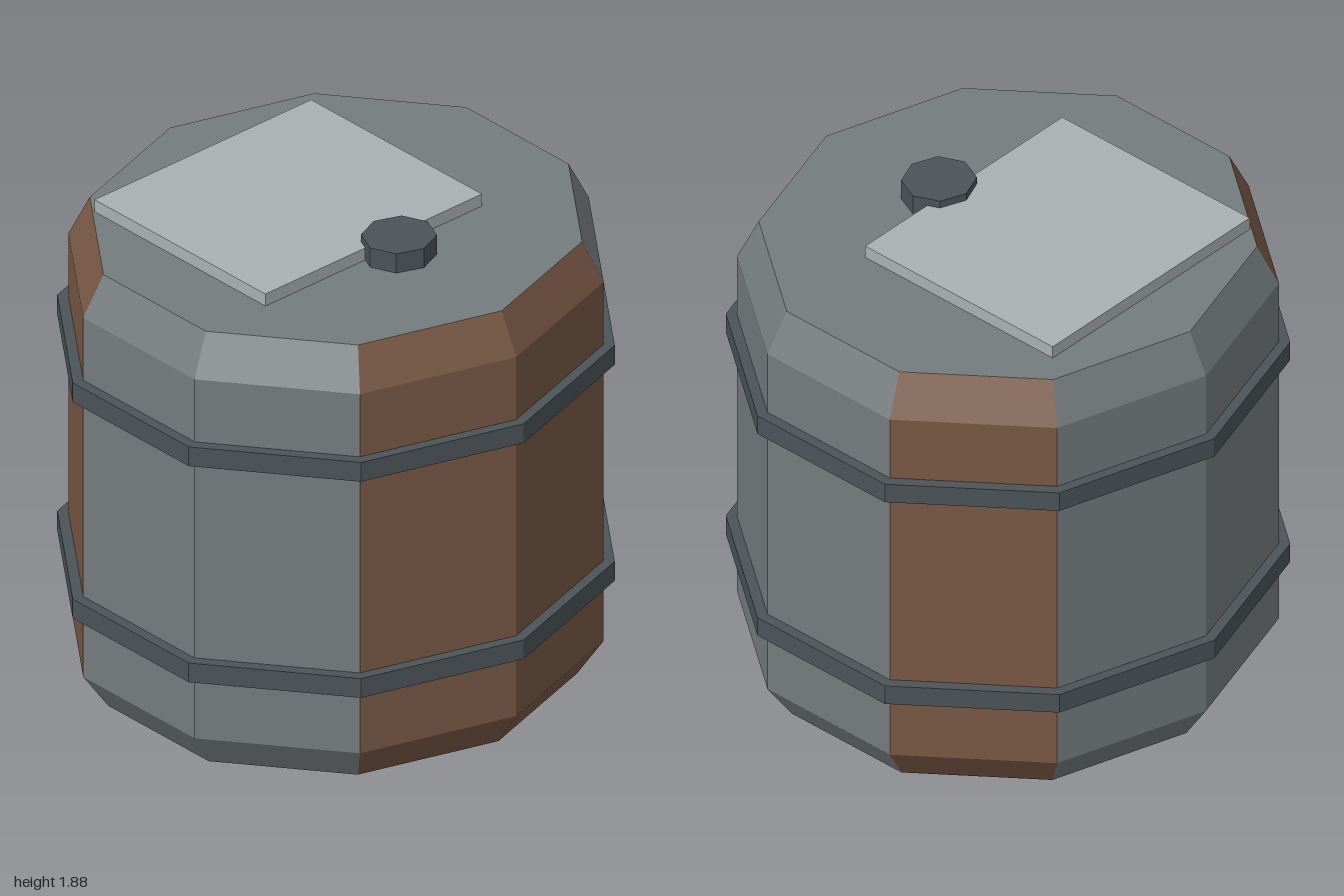
import * as THREE from 'three';

const SIDES = 10;
const STEP = (Math.PI * 2) / SIDES;
const DEPTH = 1 / Math.sin(STEP * 2); // stretches z so the decagon is as deep as it is wide

const material = (color) => new THREE.MeshStandardMaterial({ color, flatShading: true });
const grey = material(0x757c7e);
const brown = material(0x7a5946);
const iron = material(0x4c5459);
const pale = material(0xaab0b2);

function add(parent, name, geometry, mat, x = 0, y = 0, z = 0) {
  const mesh = new THREE.Mesh(geometry, mat);
  mesh.name = name;
  mesh.position.set(x, y, z);
  parent.add(mesh);
  return mesh;
}

const points = (list) => list.map(([r, y]) => new THREE.Vector2(r, y));

export function createModel() {
  const model = new THREE.Group();
  model.name = 'barrel';

  const body = new THREE.Group();
  body.name = 'body';
  body.scale.z = DEPTH;
  model.add(body);

  // Ten staves with bevelled ends, some of them brown
  const profile = points([[0.865, 0], [0.96, 0.145], [0.96, 1.64], [0.883, 1.8]]);
  const brownStaves = [0, 3, 6, 9];
  for (let k = 0; k < SIDES; k++) {
    const start = Math.PI / 2 - STEP * (k + 1);
    add(body, 'stave', new THREE.LatheGeometry(profile, 1, start, STEP),
      brownStaves.includes(k) ? brown : grey);
  }

  // Flat top and bottom
  add(body, 'top', new THREE.CircleGeometry(0.883, SIDES), grey, 0, 1.8).rotation.x = -Math.PI / 2;
  add(body, 'bottom', new THREE.CircleGeometry(0.865, SIDES), grey).rotation.x = Math.PI / 2;

  // Two hoops
  const hoop = points([[0.955, 0], [1, 0], [1, 0.08], [0.955, 0.08]]);
  for (const y of [0.4, 1.3]) {
    add(body, 'hoop', new THREE.LatheGeometry(hoop, SIDES, Math.PI / 2), iron, 0, y);
  }

  // Plate and cap on the top
  add(model, 'plate', new THREE.BoxGeometry(0.91, 0.05, 1.055), pale, -0.17, 1.825, 0.077);
  add(model, 'cap', new THREE.CylinderGeometry(0.14, 0.14, 0.08, 8), iron, 0.335, 1.84).scale.x = 0.95;

  return model;
}
